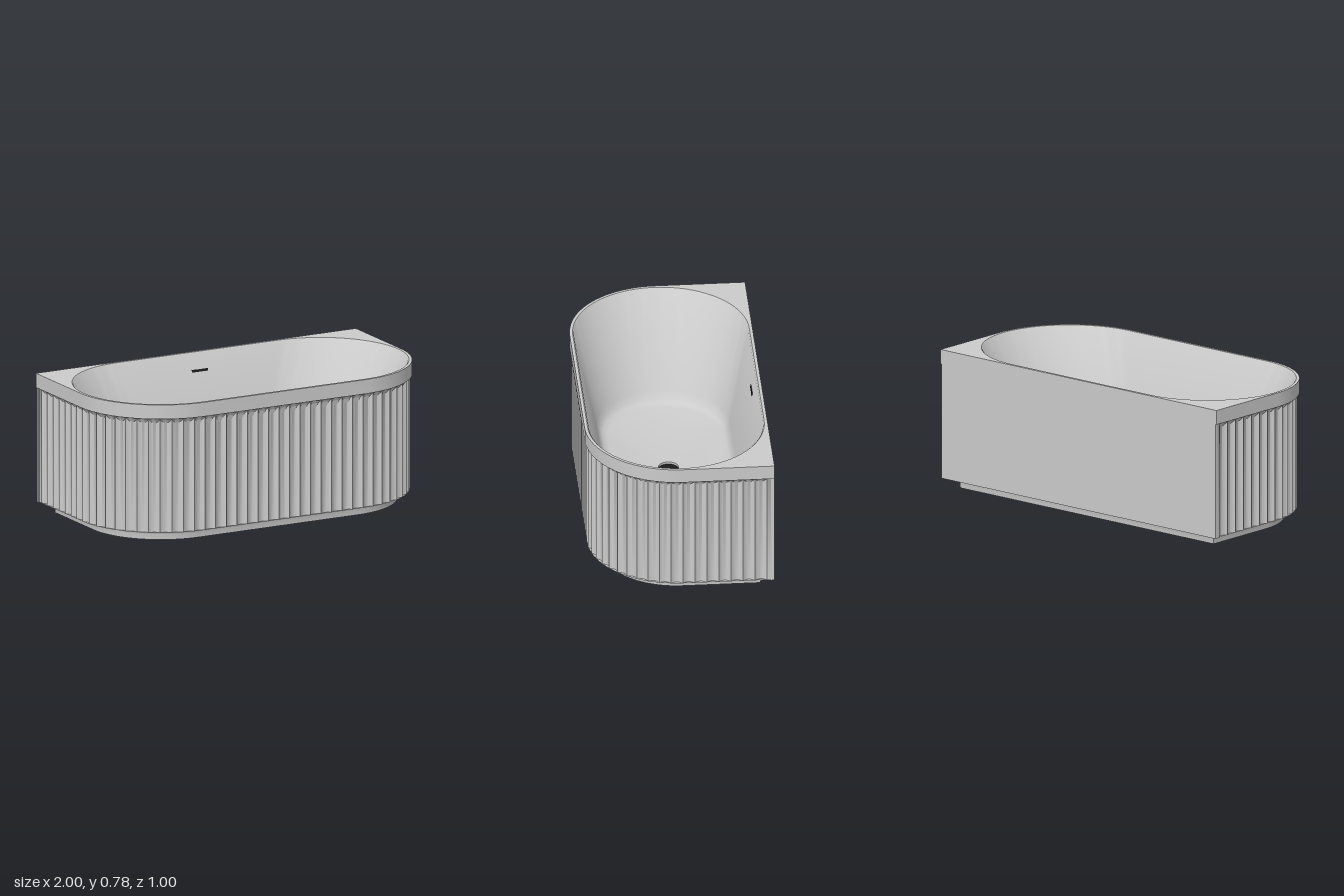
import * as THREE from 'three';
import { toCreasedNormals } from 'three/addons/utils/BufferGeometryUtils.js';

const grey = new THREE.MeshStandardMaterial({ color: 0xcccccc, side: THREE.DoubleSide });
const dark = new THREE.MeshStandardMaterial({ color: 0x1c1c1c, side: THREE.DoubleSide });

// Skin a surface through rows of points that all have the same count
function loft(rows, closed, crease = 0.7) {
  const n = rows[0].length, index = [];
  for (let r = 0; r < rows.length - 1; r++) {
    for (let i = 0; i < (closed ? n : n - 1); i++) {
      const a = r * n + i, b = r * n + (i + 1) % n;
      index.push(a, b, a + n, b, b + n, a + n);
    }
  }
  const g = new THREE.BufferGeometry().setFromPoints(rows.flat());
  g.setIndex(index);
  g.computeVertexNormals();
  return toCreasedNormals(g, crease);
}

// Arc in plan, from angle a0 to a1
function arc(cx, r, a0, a1, y, steps = 24) {
  return Array.from({ length: steps + 1 }, (_, i) => {
    const a = a0 + (a1 - a0) * i / steps;
    return new THREE.Vector3(cx + r * Math.cos(a), y, r * Math.sin(a));
  });
}

// Oval with straight long sides: half straight length, end radius, height
const stadium = (half, r, y) => [
  ...arc(half, r, -Math.PI / 2, Math.PI / 2, y, 48),
  ...arc(-half, r, Math.PI / 2, Math.PI * 1.5, y, 48),
];

// Outer plan: rounded front, square back, moved inward
const outline = (inset, y, back = inset) => [
  new THREE.Vector3(1 - inset, y, -0.5 + back),
  ...arc(0.5, 0.5 - inset, 0, Math.PI / 2, y),
  ...arc(-0.5, 0.5 - inset, Math.PI / 2, Math.PI, y),
  new THREE.Vector3(-1 + inset, y, -0.5 + back),
];

// Point on the curtain of flutes; s is the distance from the middle of the front
function skirtPoint(s, inset, y) {
  const d = Math.abs(s), side = Math.sign(s) || 1;
  const a = Math.min(Math.max((d - 0.5) / 0.5, 0), Math.PI / 2);
  const x = Math.min(d, 0.5) + (0.5 - inset) * Math.sin(a);
  const z = (0.5 - inset) * Math.cos(a) - Math.max(d - 0.5 - Math.PI / 4, 0);
  return new THREE.Vector3(side * x, y, z);
}

export function createModel() {
  const tub = new THREE.Group();
  tub.name = 'bathtub';
  const add = (name, geometry, material = grey, x = 0, y = 0, z = 0) => {
    const m = new THREE.Mesh(geometry, material);
    m.name = name;
    m.position.set(x, y, z);
    tub.add(m);
    return m;
  };

  // Rim: flat deck and plain band with the oval opening
  const flat = (pts) => pts.map((p) => new THREE.Vector2(p.x, p.z));
  const deck = new THREE.Shape(flat(outline(0, 0)));
  deck.holes.push(new THREE.Path(flat(stadium(0.5, 0.483, 0))));
  const rim = new THREE.ExtrudeGeometry(deck, { depth: 0.08, bevelEnabled: false });
  rim.rotateX(Math.PI / 2).translate(0, 0.78, 0);
  add('rim', toCreasedNormals(rim, 0.5));

  // Basin: inner wall, floor, drain opening, then back up the underside
  add('basin', loft([
    [0.5, 0.483, 0.78], [0.5, 0.476, 0.773], [0.35, 0.365, 0.285],
    [0.345, 0.352, 0.25], [0.34, 0.335, 0.229], [0.34, 0.305, 0.22],
    [0, 0.055, 0.215], [0, 0.055, 0.195], [0.34, 0.33, 0.195],
    [0.35, 0.37, 0.22], [0.36, 0.385, 0.28], [0.5, 0.482, 0.7],
  ].map((r) => stadium(...r)), true, 0.6));

  // Skirt: concave flutes that end in scallops under the rim
  const flutes = 53, steps = 8, reach = 0.5 + Math.PI / 4 + 0.46;
  const columns = [[-reach - 0.035, 0]];
  for (let i = 0; i <= flutes * steps; i++) {
    const u = ((i % steps) / steps) * 2 - 1;
    columns.push([-reach + 2 * reach * i / (flutes * steps), 0.018 * (1 - u * u)]);
  }
  columns.push([reach + 0.035, 0]);
  const ridge = 0.012;
  add('flutedSkirt', loft([
    columns.map(([s, d]) => skirtPoint(s, ridge + d, 0.055)),
    columns.map(([s, d]) => skirtPoint(s, ridge + d, 0.695 - 1.4 * d)),
    columns.map(([s]) => skirtPoint(s, ridge - 0.004, 0.7)),
  ], false));

  // Flat back panel
  add('backPanel', new THREE.BoxGeometry(1.984, 0.645, 0.018), grey, 0, 0.3775, -0.491);

  // Plinth: ledge, cove and open foot frame
  add('plinth', loft([
    [0.014, 0.0555, 0.002], [0.058, 0.055, 0.046], [0.069, 0.051, 0.057],
    [0.077, 0.042, 0.064], [0.08, 0.03, 0.068], [0.082, 0, 0.07],
    [0.122, 0, 0.112], [0.122, 0.055, 0.112],
  ].map((r) => outline(...r)), true, 0.6));

  // Cross bars under the tub
  for (const side of [-1, 1]) {
    add('crossBar', new THREE.BoxGeometry(0.065, 0.045, 0.78), grey, side * 0.335, 0.025, -0.005);
  }

  // Drain: collar under the floor and dark well
  const collar = [[0.055, 0.217], [0.055, 0.157], [0.075, 0.157], [0.075, 0.197]];
  add('drainCollar', toCreasedNormals(
    new THREE.LatheGeometry(collar.map((p) => new THREE.Vector2(...p)), 32), 0.6));
  add('drainWell', new THREE.CylinderGeometry(0.054, 0.054, 0.03, 32), dark, 0, 0.19, 0);

  // Overflow slot high on the back wall
  const slot = add('overflowSlot', new THREE.BoxGeometry(0.1, 0.014, 0.006), dark, 0, 0.68, -0.455);
  slot.rotation.x = -0.22;
  return tub;
}
